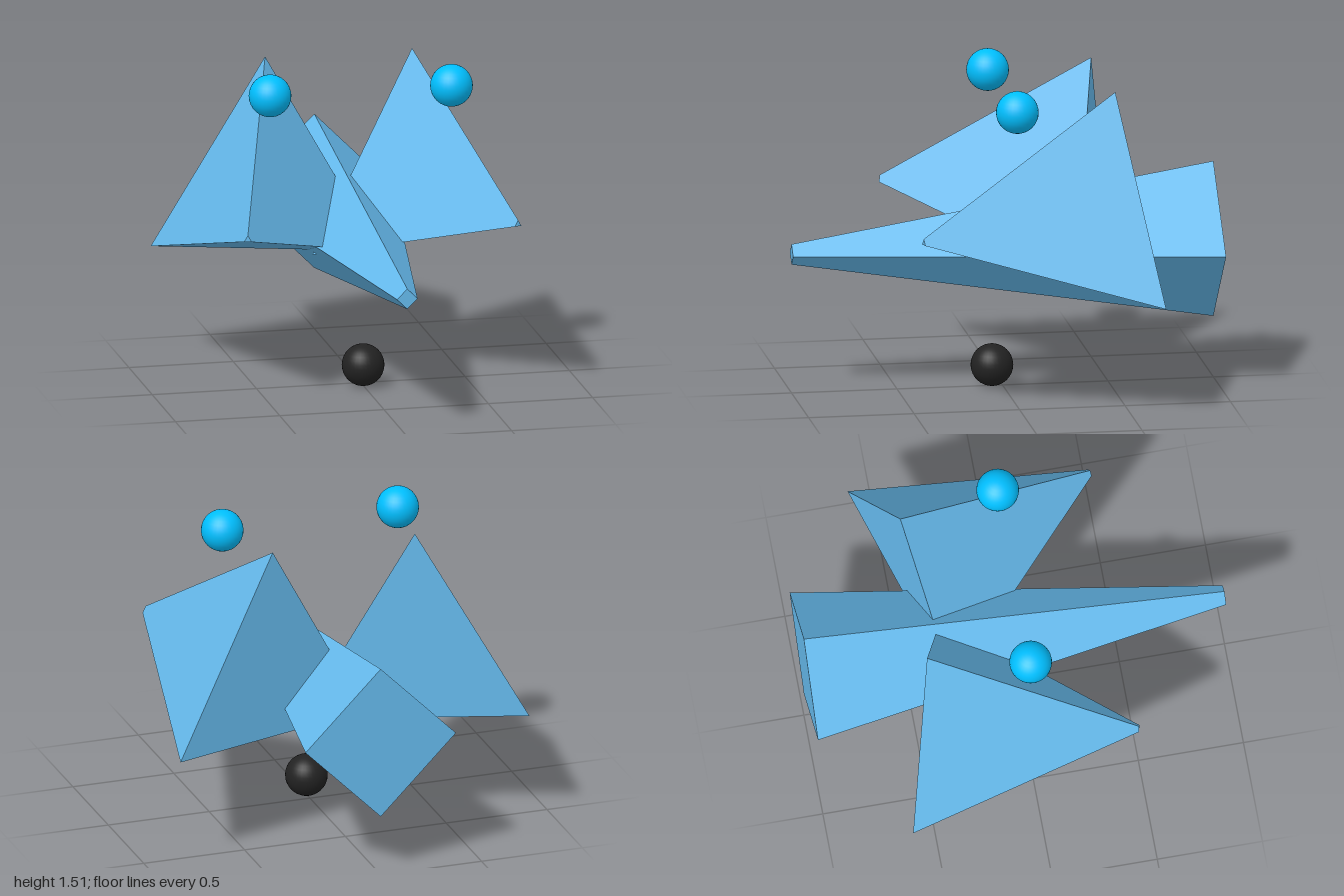
import * as THREE from 'three';

// Faceted taper pointing along +z, with one corner of its section straight up
function taper(name, frontRadius, backRadius, length, sides, material) {
  const geometry = new THREE.CylinderGeometry(frontRadius, backRadius, length, sides);
  geometry.rotateY(Math.PI).rotateX(Math.PI / 2);
  const mesh = new THREE.Mesh(geometry, material);
  mesh.name = name;
  return mesh;
}

function ball(name, x, y, z, material) {
  const mesh = new THREE.Mesh(new THREE.SphereGeometry(0.1, 32, 16), material);
  mesh.name = name;
  mesh.position.set(x, y, z);
  return mesh;
}

export function createModel() {
  const model = new THREE.Group();
  model.name = 'model';
  const hull = new THREE.MeshStandardMaterial({ color: 0x66bbee, flatShading: true });
  const cyan = new THREE.MeshStandardMaterial({ color: 0x00bfff });
  const black = new THREE.MeshStandardMaterial({ color: 0x222222 });

  // Four-sided body, narrow at the front
  const body = taper('body', 0.049, 0.373, 2, 4, hull);
  body.position.y = 0.667;
  model.add(body);

  // Three-sided wings turned outward, each with a ball above
  for (const [side, s] of [['left', 1], ['right', -1]]) {
    const wing = taper(side + 'Wing', 0.02, 0.62, 1, 3, hull);
    wing.position.set(s * 0.5, 0.855, 0);
    wing.rotation.y = s * 0.3;
    model.add(wing, ball(side + 'Ball', s * 0.435, 1.415, 0, cyan));
  }

  // Dark ball underneath
  model.add(ball('lowerBall', 0, 0.1, 0.05, black));
  return model;
}
